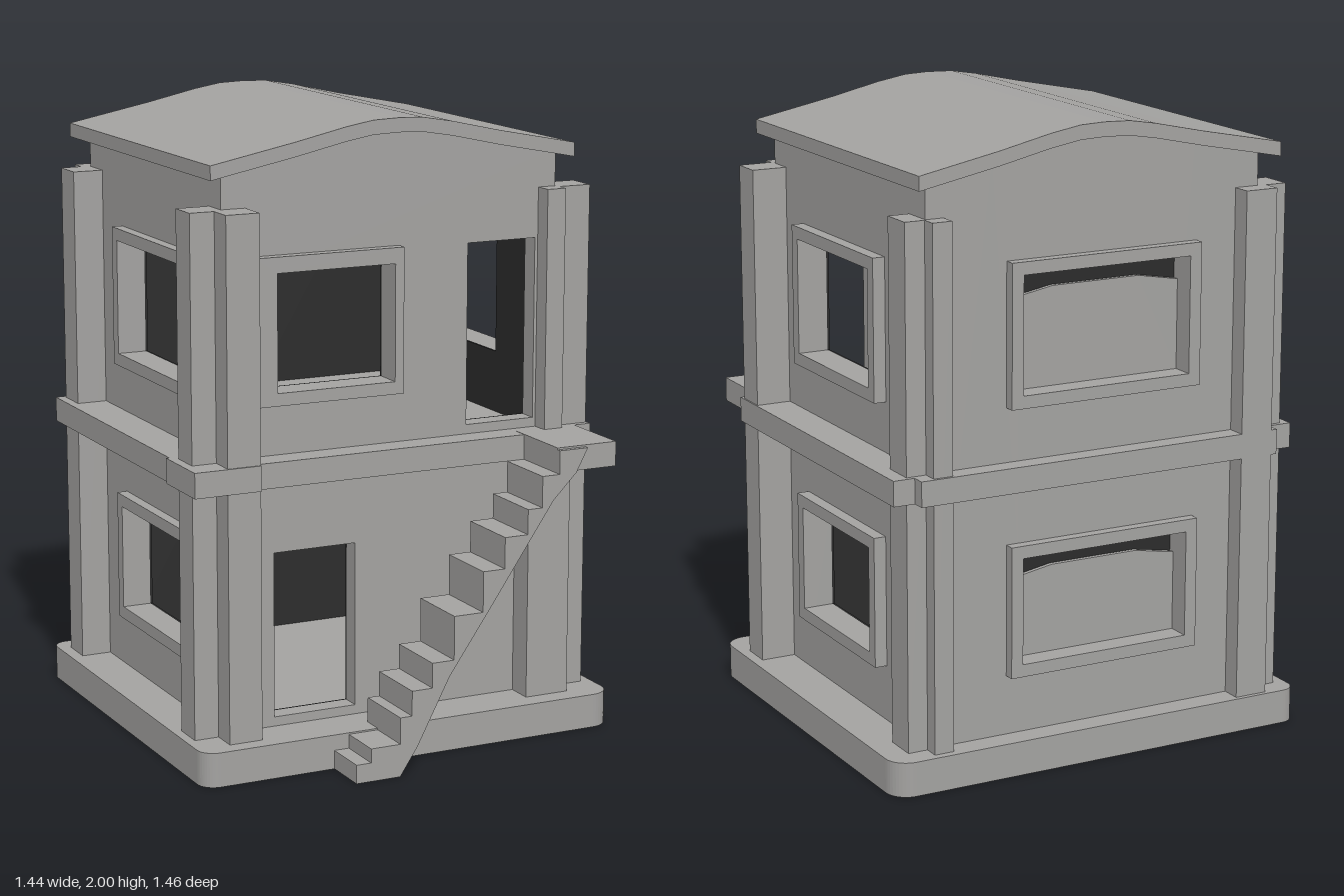
import * as THREE from 'three';

export function createModel() {
  const house = new THREE.Group();
  house.name = 'twoStoreyHouse';
  const stone = new THREE.MeshStandardMaterial({ color: 0xa3a2a0 });
  stone.name = 'grey stone';
  const dark = new THREE.MeshStandardMaterial({ color: 0x2b2b2b });
  dark.name = 'dark interior';

  const add = (name, geometry, material = stone) => {
    const mesh = new THREE.Mesh(geometry, material);
    mesh.name = name;
    house.add(mesh);
    return mesh;
  };
  const vectors = points => points.map(p => new THREE.Vector2(...p));
  // Box given by its limits
  const box = (name, x0, x1, y0, y1, z0, z1, material) => add(name,
    new THREE.BoxGeometry(x1 - x0, y1 - y0, z1 - z0)
      .translate((x0 + x1) / 2, (y0 + y1) / 2, (z0 + z1) / 2), material);
  const rect = ([x0, x1, y0, y1]) => vectors([[x0, y0], [x1, y0], [x1, y1], [x0, y1]]);
  const slab = (points, holes, depth) => {
    const shape = new THREE.Shape(points);
    for (const h of holes) shape.holes.push(new THREE.Path(rect(h)));
    return new THREE.ExtrudeGeometry(shape, { depth, bevelEnabled: false });
  };
  // Slab in the x-y plane, from z upward
  const faceZ = (name, points, holes, z, depth, material) =>
    add(name, slab(points, holes, depth).translate(0, 0, z), material);
  // Slab in the z-y plane, from x upward
  const faceX = (name, points, holes, x, depth, material) =>
    add(name, slab(points, holes, depth).rotateY(-Math.PI / 2).translate(x + depth, 0, 0), material);

  // Base with rounded corners
  const bx = 0.72, z0 = -0.73, z1 = 0.57;
  const base = new THREE.Shape();
  [[1, z1, 0.07], [-1, z1, 0.055], [-1, z0, 0.05], [1, z0, 0.07]].forEach(([side, z, r], i) =>
    base.absarc(side * (bx - r), z - Math.sign(z) * r, r, i * Math.PI / 2, (i + 1) * Math.PI / 2));
  add('base', new THREE.ExtrudeGeometry(base, { depth: 0.11, bevelEnabled: false, curveSegments: 5 })
    .rotateX(Math.PI / 2).translate(0, 0.11, 0));

  // Openings as [min, max, bottom, top]
  const frontWindow = [-0.41, -0.01, 1.18, 1.55];
  const frontHoles = [frontWindow, [0.26, 0.5, 1.01, 1.59], [-0.41, -0.13, 0.14, 0.67]];
  const sideHoles = [[-0.34, 0.16, 1.18, 1.55], [-0.33, 0.15, 0.33, 0.67]];
  const backHoles = [[-0.32, 0.26, 1.19, 1.56], [-0.32, 0.26, 0.34, 0.68]];
  const frame = ([a, b, c, d], w = 0.04) => rect([a - w, b + w, c - w, d + w]);

  // Curved roof
  const roofLine = [[-0.63, 1.89], [-0.35, 1.945], [-0.18, 1.982], [-0.09, 1.997], [0, 2],
    [0.08, 1.997], [0.18, 1.98], [0.35, 1.942], [0.615, 1.89]];
  const roofUnder = roofLine.map(([x, y]) => [x, y - 0.045]).reverse();
  faceZ('roof', vectors([...roofLine, ...roofUnder]), [], -0.7, 1.15);

  // Gabled front and back walls
  const gable = vectors([[-0.58, 0.1], [0.57, 0.1], [0.57, 1.87], [0.35, 1.91], [0.09, 1.965],
    [-0.09, 1.965], [-0.35, 1.91], [-0.58, 1.87]]);
  faceZ('frontWall', gable, frontHoles, 0.35, 0.06);
  faceZ('backWall', gable, backHoles, -0.65, 0.06);
  faceZ('frontWindowFrame', rect([-0.48, 0.02, 1.14, 1.6]), [frontWindow], 0.41, 0.035);

  // Side walls with framed windows
  const sideRect = rect([-0.59, 0.35, 0.1, 1.87]);
  faceX('leftWall', sideRect, sideHoles, 0.51, 0.06);
  faceX('rightWall', sideRect, sideHoles, -0.58, 0.06);
  for (const h of sideHoles) {
    faceX('leftWindowFrame', frame(h), [h], 0.57, 0.04);
    faceX('rightWindowFrame', frame(h), [h], -0.615, 0.035);
  }

  // Blind back windows: frame and panel with dropped upper corners
  for (const h of backHoles) {
    const [a, b, c, d] = h;
    faceZ('backWindowFrame', frame(h), [h], -0.685, 0.035);
    const panel = [[a, c], [b, c], [b, d - 0.085], [b - 0.14, d - 0.06], [a + 0.14, d - 0.06], [a, d - 0.085]];
    faceZ('backWindowPanel', vectors(panel), [], -0.61, 0.015);
  }

  // Dark lining of the rooms
  const inner = rect([-0.52, 0.51, 0.11, 1.86]);
  faceZ('frontLining', inner, frontHoles, 0.342, 0.008, dark);
  faceZ('backLining', inner, [], -0.59, 0.008, dark);
  faceX('leftLining', sideRect, sideHoles, 0.502, 0.008, dark);
  faceX('rightLining', sideRect, sideHoles, -0.52, 0.008, dark);
  for (const y of [0.892, 1.75]) box('ceiling', -0.51, 0.5, y, y + 0.008, -0.58, 0.34, dark);

  // Corner strips: one on each face beside every corner
  for (const [a, b, back, front] of [[-0.61, -0.5, -0.715, 0.515], [0.51, 0.575, -0.705, 0.47]]) {
    box('frontPillar', a, b, 0.1, 1.75, 0.38, front);
    box('backPillar', a, b, 0.1, 1.75, back, -0.62);
  }
  box('lowerFrontPillar', 0.44, 0.59, 0.1, 0.92, 0.38, 0.5);
  for (const [a, b, left, right] of [[0.325, 0.43, 0.685, -0.69], [-0.655, -0.545, 0.64, -0.68]]) {
    box('leftPillar', 0.54, left, 0.1, 1.75, a, b);
    box('rightPillar', right, -0.55, 0.1, 1.75, a, b);
  }

  // Belt between the storeys: plan as [x, z], notched at three corners
  const belt = [[-0.72, 0.52], [-0.5, 0.52], [-0.5, 0.5], [0.63, 0.5], [0.63, 0.45], [0.69, 0.45],
    [0.69, -0.67], [0.62, -0.67], [0.62, -0.715], [-0.63, -0.715], [-0.63, -0.67], [-0.71, -0.67],
    [-0.71, 0.3], [-0.72, 0.3]];
  add('belt', slab(vectors(belt), [], 0.08).rotateX(Math.PI / 2).translate(0, 0.98, 0));

  // Outside staircase and landing
  const treads = [[-0.28, 0.06], [-0.23, 0.105], [-0.13, 0.19], [-0.09, 0.27], [-0.02, 0.35], [0.055, 0.49],
    [0.155, 0.62], [0.23, 0.72], [0.31, 0.8], [0.36, 0.9], [0.42, 0.975]];
  const stairs = [[-0.28, 0]];
  treads.forEach(([x, y], i) => {
    if (i) stairs.push([x, treads[i - 1][1]]);
    stairs.push([x, y]);
  });
  stairs.push([0.52, 0.975], [0.48, 0.9], [0.4, 0.82], [0.18, 0.5], [0.04, 0.3], [-0.07, 0.09], [-0.13, 0]);
  faceZ('staircase', vectors(stairs), [], 0.5, 0.225);
  box('landing', 0.42, 0.63, 0.902, 0.981, 0.45, 0.71);

  return house;
}
